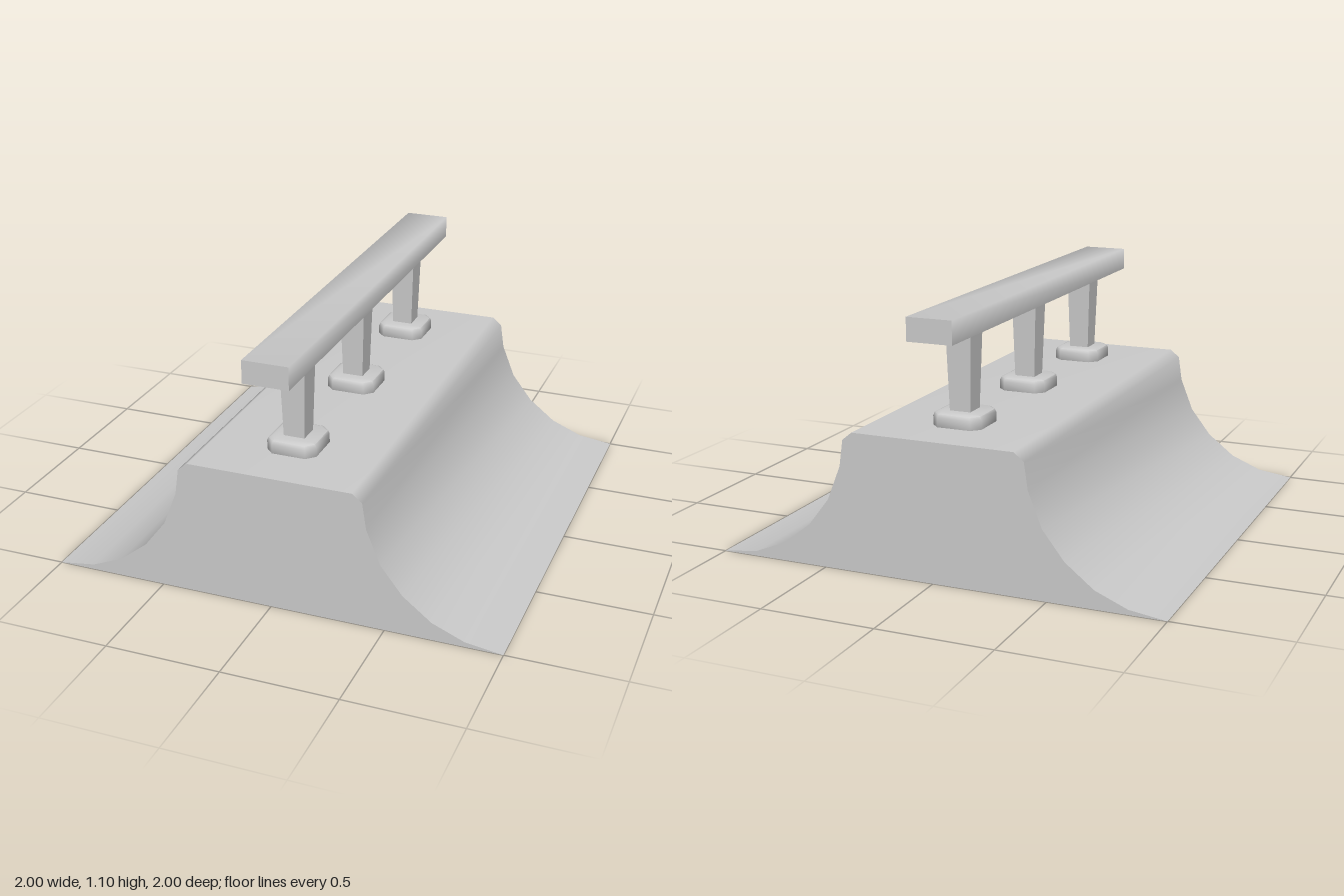
import * as THREE from 'three';
import { mergeGeometries, toCreasedNormals } from 'three/addons/utils/BufferGeometryUtils.js';

const material = new THREE.MeshStandardMaterial({ color: 0xcccccc });
const HALF_LENGTH = 1;

function addMesh(parent, name, geometry) {
  const mesh = new THREE.Mesh(geometry, material);
  mesh.name = name;
  parent.add(mesh);
  return mesh;
}

// Symmetric profile swept along z: smooth upper skin, sharp flat ends and base.
// half: [x, y] points from the centre outwards and down.
function sweptProfile(half) {
  const points = [
    ...half.map(([x, y]) => new THREE.Vector2(-x, y)).reverse(),
    ...half.map(([x, y]) => new THREE.Vector2(x, y)),
  ];
  const n = points.length;

  const skin = new THREE.PlaneGeometry(1, 1, n - 1, 1);
  for (let i = 0; i < n; i++) {
    const { x, y } = points[i];
    skin.attributes.position.setXYZ(i, x, y, -HALF_LENGTH);
    skin.attributes.position.setXYZ(i + n, x, y, HALF_LENGTH);
  }
  skin.computeVertexNormals();

  const front = new THREE.ShapeGeometry(new THREE.Shape(points)).translate(0, 0, HALF_LENGTH);
  const back = front.clone().rotateY(Math.PI);
  const [baseX, baseY] = half[half.length - 1];
  const base = new THREE.PlaneGeometry(baseX * 2, HALF_LENGTH * 2)
    .rotateX(Math.PI / 2).translate(0, baseY, 0);
  return mergeGeometries([skin, front, back, base]);
}

// Square foot with cut corners and a bevelled top, standing on y = 0
function footGeometry() {
  const bevel = 0.02, a = 0.11 - bevel, b = 0.066;
  const outline = [[a, -b], [a, b], [b, a], [-b, a], [-a, b], [-a, -b], [-b, -a], [b, -a]];
  const shape = new THREE.Shape(outline.map(([x, y]) => new THREE.Vector2(x, y)));
  const geometry = new THREE.ExtrudeGeometry(shape, {
    depth: 0.04, bevelSize: bevel, bevelThickness: bevel, bevelSegments: 2,
  });
  geometry.rotateX(-Math.PI / 2);
  return toCreasedNormals(geometry, 0.9);
}

// Square post, wider at the top
function postGeometry() {
  const height = 0.36;
  return new THREE.CylinderGeometry(0.057 * Math.SQRT2, 0.046 * Math.SQRT2, height, 4, 1)
    .rotateY(Math.PI / 4).translate(0, height / 2, 0);
}

export function createModel() {
  const model = new THREE.Group();
  model.name = 'rampWithRail';

  // Double curved ramp with a flat deck
  addMesh(model, 'ramp', sweptProfile([
    [0.36, 0.6], [0.403, 0.565], [0.42, 0.45], [0.48, 0.3],
    [0.575, 0.178], [0.7, 0.08], [0.84, 0.022], [1, 0],
  ]));

  // Grind rail
  addMesh(model, 'rail', sweptProfile([[0.1, 1.1], [0.1, 1.0]]));

  // Rail supports
  const foot = footGeometry();
  const post = toCreasedNormals(postGeometry(), 0.5);
  for (const z of [-0.68, 0, 0.68]) {
    const support = new THREE.Group();
    support.name = 'support';
    support.position.set(0, 0.6, z);
    addMesh(support, 'foot', foot);
    addMesh(support, 'post', post).position.y = 0.04;
    model.add(support);
  }
  return model;
}
